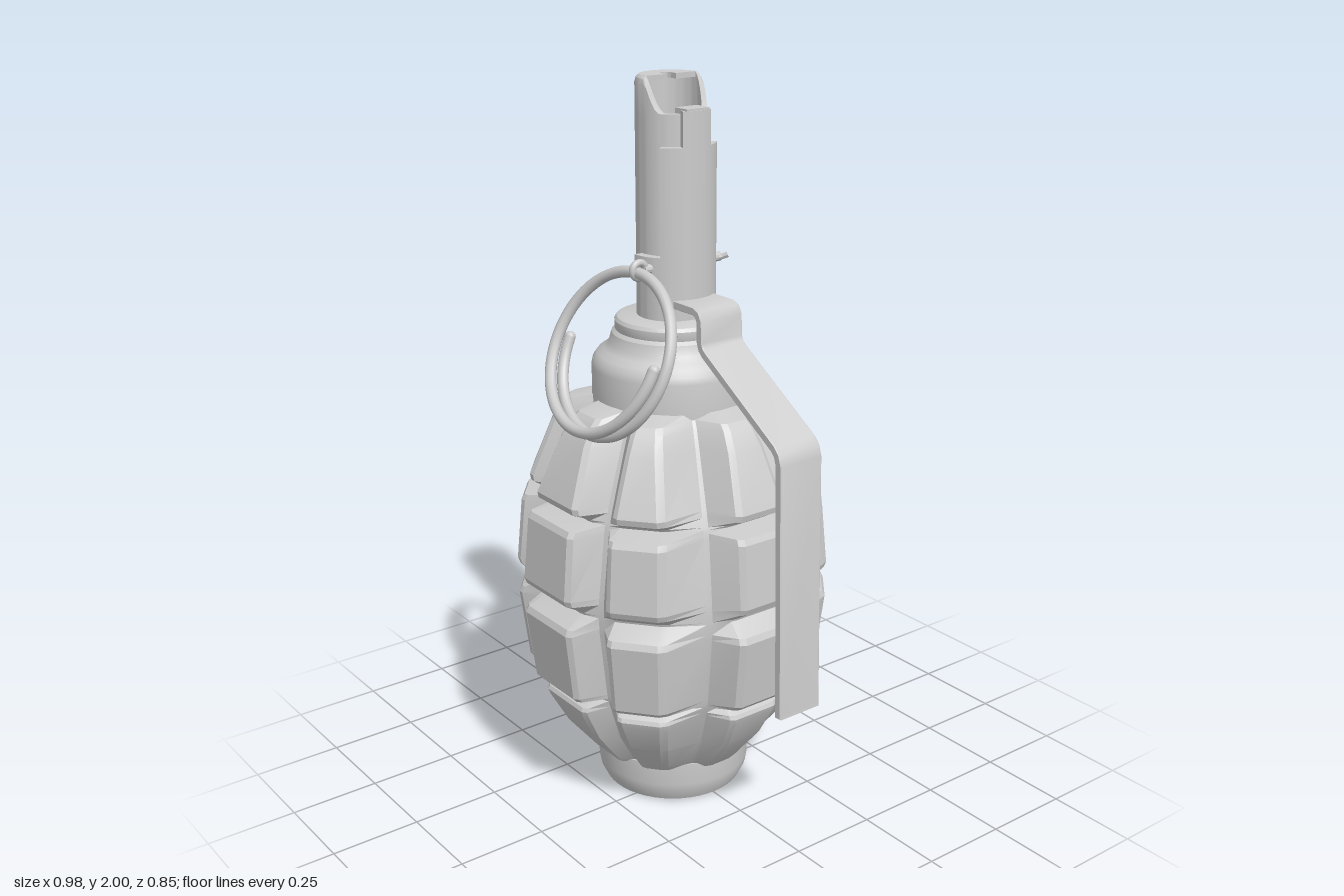
import * as THREE from 'three';
import { toCreasedNormals } from 'three/addons/utils/BufferGeometryUtils.js';

const AXIS = -0.063; // x of the body's axis
const mat = new THREE.MeshStandardMaterial({ color: 0xcccccc });
const V2 = (x, y) => new THREE.Vector2(x, y);
const V3 = (x, y, z) => new THREE.Vector3(x, y, z);

function add(parent, name, geometry, crease = 0.5) {
  const mesh = new THREE.Mesh(crease ? toCreasedNormals(geometry, crease) : geometry, mat);
  mesh.name = name;
  parent.add(mesh);
  return mesh;
}

const lathe = (pts, seg = 48) => new THREE.LatheGeometry(pts.map(p => V2(...p)), seg);

// Linear lookup in a list of [key, value]
function lookup(table, k) {
  for (let i = 1; i < table.length; i++) {
    const [a, va] = table[i - 1], [b, vb] = table[i];
    if (k <= b) return va + (vb - va) * Math.max(0, (k - a) / (b - a));
  }
  return table[table.length - 1][1];
}

// Segmented shell: eight flat-faced lobes in four tiers, with V grooves between.
// The slanted lobes are narrower than the ones on the x and z axes.
function bodyGeometry() {
  const rings = [ // y, distance of the lobe face from the axis
    [0.10, 0.19], [0.113, 0.222], [0.13, 0.238], [0.23, 0.318], [0.32, 0.366], [0.337, 0.372], [0.348, 0.367], [0.368, 0.33],
    [0.377, 0.39], [0.39, 0.402], [0.585, 0.426], [0.602, 0.418], [0.633, 0.368],
    [0.639, 0.37], [0.67, 0.42], [0.687, 0.427], [0.86, 0.411], [0.876, 0.402], [0.885, 0.33],
    [0.892, 0.335], [0.915, 0.383], [0.932, 0.387], [1.08, 0.327], [1.13, 0.295], [1.146, 0.277], [1.165, 0.2]];
  const valley = [[0.1, 0.19], [0.13, 0.215], [0.23, 0.28], [0.368, 0.335], [0.5, 0.366], [0.635, 0.374],
    [0.77, 0.364], [0.887, 0.335], [1.0, 0.292], [1.13, 0.228], [1.165, 0.2]];
  const taper = [[0.1, 0.85], [0.35, 1], [0.88, 1], [1.15, 0.7]];
  const lobeAngle = [0, 39.5, 90, 140.5, 180, 219.5, 270, 320.5];
  const lobeWidth = [0.25, 0.17, 0.205, 0.17];
  const valleyAngle = [23, 68, 112, 157, 203, 248, 292, 337];
  const rad = THREE.MathUtils.degToRad;
  const pos = [], index = [];
  const n = 48;
  for (const [y, R] of rings) {
    const v = lookup(valley, y);
    lobeAngle.forEach((deg, k) => {
      const a = rad(deg);
      const w = R * lobeWidth[k % 4] * lookup(taper, y);
      const vAt = s => {
        const t = rad(valleyAngle[s < 0 ? (k + 7) % 8 : k] - s * 1.2);
        return V2(v * Math.sin(t), v * Math.cos(t));
      };
      const at = t => V2(R * Math.sin(a) + t * Math.cos(a), R * Math.cos(a) - t * Math.sin(a));
      const before = vAt(-1), after = vAt(1);
      const outline = [before, at(-w).lerp(before, 0.13), at(-w + 0.01), at(w - 0.01), at(w).lerp(after, 0.13), after];
      for (const q of outline) pos.push(q.x, y, q.y);
    });
  }
  for (let i = 0; i < rings.length - 1; i++) {
    for (let j = 0; j < n; j++) {
      const a = i * n + j, b = i * n + (j + 1) % n;
      index.push(a, b, b + n, a, b + n, a + n);
    }
  }
  const g = new THREE.BufferGeometry();
  g.setAttribute('position', new THREE.Float32BufferAttribute(pos, 3));
  g.setIndex(index);
  return g;
}

// Curved plate hugging the tube on its +x side
function sleeve(halfAngle, y0, y1) {
  const s = new THREE.Shape();
  s.absarc(0, 0, 0.117, -halfAngle, halfAngle, false);
  s.absarc(0, 0, 0.091, halfAngle, -halfAngle, true);
  s.closePath();
  return new THREE.ExtrudeGeometry(s, { depth: y1 - y0, bevelEnabled: false, curveSegments: 24 })
    .rotateX(-Math.PI / 2).translate(0, y0, 0);
}

// Flat strip of a given thickness bent along a path in x, y
function strip(path, thick, width) {
  const side = sign => path.map((p, i) => {
    const a = path[Math.max(i - 1, 0)], b = path[Math.min(i + 1, path.length - 1)];
    const d = V2(b[0] - a[0], b[1] - a[1]).normalize();
    return V2(p[0] - d.y * sign * thick / 2, p[1] + d.x * sign * thick / 2);
  });
  const shape = new THREE.Shape([...side(1), ...side(-1).reverse()]);
  return new THREE.ExtrudeGeometry(shape, {
    depth: width - 0.006, bevelSize: 0.002, bevelThickness: 0.003, bevelSegments: 1,
  }).translate(0, 0, -width / 2 + 0.003);
}

export function createModel() {
  const model = new THREE.Group();
  const core = new THREE.Group();
  core.name = 'core';
  core.position.x = AXIS;
  model.add(core);

  add(core, 'segmentedBody', bodyGeometry(), 0.3);

  add(core, 'base', lathe([[0, 0], [0.188, 0], [0.198, 0.006], [0.212, 0.035], [0.216, 0.06], [0.216, 0.125], [0, 0.125]]));

  add(core, 'neck', lathe([[0.19, 1.13], [0.216, 1.14], [0.216, 1.24], [0.212, 1.258], [0.2, 1.275],
    [0.182, 1.287], [0.169, 1.302], [0.161, 1.33], [0.15, 1.34], [0, 1.34]]));
  add(core, 'collar', lathe([[0.13, 1.33], [0.15, 1.335], [0.153, 1.342], [0.153, 1.363], [0.147, 1.372],
    [0.135, 1.377], [0, 1.377]]));

  // Hollow tube whose rim is cut down on the +x side
  const tube = lathe([[0.093, 1.36], [0.093, 1.9], [0.093, 1.98], [0.089, 1.993], [0.082, 1.999],
    [0.078, 1.998], [0.078, 1.9], [0.078, 1.75], [0, 1.75]], 64);
  const p = tube.attributes.position;
  for (let i = 0; i < p.count; i++) {
    const cut = 2 - 0.09 * THREE.MathUtils.smoothstep(p.getX(i), -0.005, 0.055);
    p.setY(i, Math.min(p.getY(i), cut));
  }
  add(core, 'fuzeTube', tube);

  // Half cap with a rounded notch
  const cap = new THREE.Shape();
  cap.moveTo(0, 0.082);
  cap.absarc(0, 0, 0.082, Math.PI / 2, Math.PI * 1.5, false);
  cap.lineTo(0, -0.016);
  cap.lineTo(-0.02, -0.016);
  cap.absarc(-0.02, 0, 0.016, Math.PI * 1.5, Math.PI / 2, true);
  cap.lineTo(0, 0.016);
  cap.closePath();
  add(core, 'tubeCap', new THREE.ExtrudeGeometry(cap, { depth: 0.014, bevelEnabled: false, curveSegments: 24 })
    .rotateX(-Math.PI / 2).translate(0, 1.985, 0));

  // Lever clasp around the tube
  add(core, 'claspPlate', sleeve(0.9, 1.42, 1.83));
  add(core, 'claspEars', sleeve(1.6, 1.485, 1.55));
  add(core, 'claspTab', sleeve(0.39, 1.82, 1.92));
  add(core, 'claspHook', new THREE.BoxGeometry(0.05, 0.014, 0.07).translate(0.088, 1.918, 0));

  // Safety lever
  const path = [[0.03, 1.428], [0.115, 1.428], [0.13, 1.421], [0.139, 1.405], [0.141, 1.35], [0.147, 1.334],
    [0.16, 1.322], [0.435, 1.15], [0.45, 1.134], [0.458, 1.11], [0.476, 0.43], [0.477, 0.418]];
  add(model, 'safetyLever', strip(path, 0.018, 0.134));

  // Pin through the clasp, with an eye in front and spread ends behind
  const pin = new THREE.Group();
  pin.name = 'safetyPin';
  pin.position.set(-0.018, 1.52, 0);
  model.add(pin);
  add(pin, 'pinShaft', new THREE.CylinderGeometry(0.013, 0.013, 0.25, 12).rotateX(Math.PI / 2));
  add(pin, 'pinEye', new THREE.TorusGeometry(0.02, 0.01, 8, 20).rotateY(Math.PI / 2).translate(0, 0, 0.138), 0);
  for (const s of [-1, 1]) {
    const end = new THREE.CatmullRomCurve3([V3(0, 0, -0.105), V3(s * 0.008, 0, -0.12), V3(s * 0.024, s * 0.008, -0.135)]);
    add(pin, 'pinEnd', new THREE.TubeGeometry(end, 8, 0.008, 8, false));
  }

  // Pull ring: wire coiled one and a half turns, doubled along the lower half
  const ring = new THREE.Group();
  ring.name = 'pullRing';
  ring.position.set(-0.014, 1.317, 0.232);
  ring.rotation.x = -0.43;
  model.add(ring);
  const coil = [];
  for (let i = 0; i <= 72; i++) {
    const a = -Math.PI * (i / 72) * 3;
    coil.push(V3(0.216 * Math.cos(a), 0.216 * Math.sin(a), 0.025 - 0.044 * THREE.MathUtils.smoothstep(i, 14, 58)));
  }
  add(ring, 'ringWire', new THREE.TubeGeometry(new THREE.CatmullRomCurve3(coil), 160, 0.0155, 10, false), 0);
  for (const end of [coil[0], coil[72]]) {
    add(ring, 'ringWireEnd', new THREE.SphereGeometry(0.0155, 12, 8).translate(end.x, end.y, end.z), 0);
  }
  return model;
}
